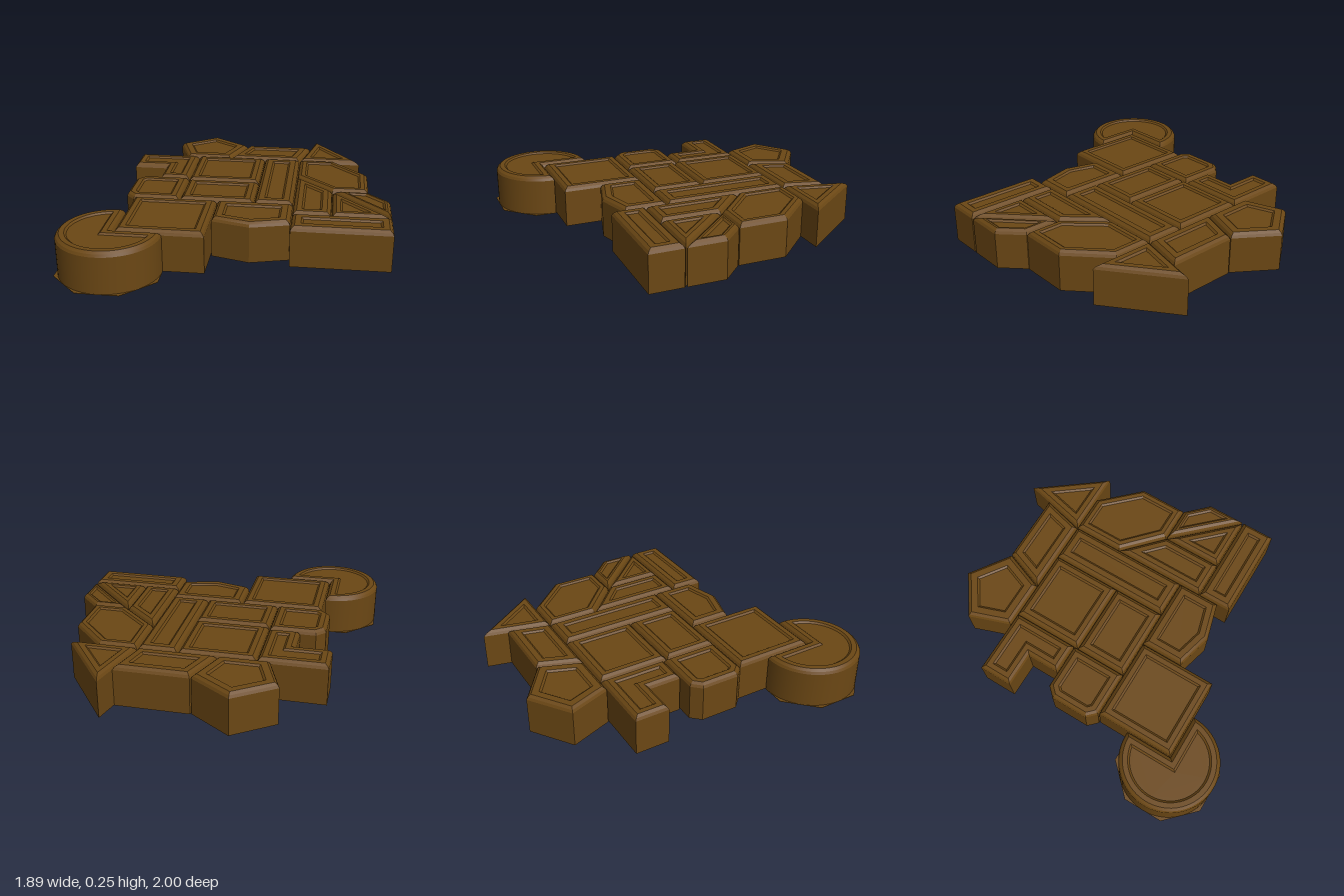
import * as THREE from 'three';
import { toCreasedNormals } from 'three/addons/utils/BufferGeometryUtils.js';

const { Vector2, ShapeUtils } = THREE;
const stone = new THREE.MeshStandardMaterial({ color: 0x6b4714 });

// Outline corners are [x, z]; they become counter-clockwise points seen from above
function outline(corners) {
  const pts = corners.map(([x, z]) => new Vector2(x, -z));
  return ShapeUtils.isClockWise(pts) ? pts.reverse() : pts;
}

const rect = (x0, z0, x1, z1) => [[x0, z0], [x1, z0], [x1, z1], [x0, z1]];

// Move every edge inwards by d, keeping mitred corners
function inset(pts, d) {
  const n = pts.length;
  const normal = (a, b) => new Vector2(a.y - b.y, b.x - a.x).normalize();
  return pts.map((p, i) => {
    const n1 = normal(pts[(i + n - 1) % n], p);
    const n2 = normal(p, pts[(i + 1) % n]);
    return n1.clone().add(n2).multiplyScalar(d / (1 + n1.dot(n2))).add(p);
  });
}

// Stack inset copies of an outline by [inset, height] steps and cap both ends
function stackedPrism(corners, steps) {
  const base = outline(corners);
  const n = base.length;
  const rings = steps.map(([d, y]) => inset(base, d).map((p) => [p.x, y, -p.y]));
  const pos = [];
  const tri = (a, b, c) => pos.push(...a, ...b, ...c);
  for (let r = 0; r < rings.length - 1; r++) {
    const lo = rings[r], hi = rings[r + 1];
    for (let i = 0; i < n; i++) {
      const j = (i + 1) % n;
      tri(lo[i], lo[j], hi[j]);
      tri(lo[i], hi[j], hi[i]);
    }
  }
  const cap = (ring, up) => {
    const flat = ring.map(([x, , z]) => new Vector2(x, -z));
    for (const [a, b, c] of ShapeUtils.triangulateShape(flat, [])) {
      if (up) tri(ring[a], ring[b], ring[c]);
      else tri(ring[a], ring[c], ring[b]);
    }
  };
  cap(rings[0], false);
  cap(rings[rings.length - 1], true);
  const geo = new THREE.BufferGeometry();
  geo.setAttribute('position', new THREE.Float32BufferAttribute(pos, 3));
  return toCreasedNormals(geo, 0.35);
}

// Tile profile: straight wall, bevelled rim, flat border, shallow sunken panel
const tileSteps = (border) => [
  [0, 0], [0, 0.225], [0.008, 0.24], [0.024, 0.253],
  [border - 0.006, 0.253], [border + 0.006, 0.243],
];

// Three-quarter disc with a square notch for the neighbouring tile
function notchedDisc(cx, cz, r) {
  const pts = [[-0.63, 0.695]];
  const from = THREE.MathUtils.degToRad(86.2), to = THREE.MathUtils.degToRad(361);
  for (let i = 0; i <= 48; i++) {
    const a = from + ((to - from) * i) / 48;
    pts.push([cx + r * Math.cos(a), cz - r * Math.sin(a)]);
  }
  return pts;
}

export function createModel() {
  const group = new THREE.Group();
  group.name = 'pavingTiles';

  // name, outline, border width
  const tiles = [
    ['pentagonTile', [[-0.275, -1], [-0.03, -0.83], [-0.125, -0.575], [-0.425, -0.575], [-0.515, -0.83]], 0.07],
    ['backTrapezoidTile', [[-0.022, -0.833], [0.418, -0.833], [0.352, -0.575], [-0.117, -0.575]], 0.065],
    ['backTriangleTile', [[0.455, -0.98], [0.765, -0.573], [0.36, -0.573]], 0.06],
    ['cornerTile', [[-0.75, -0.57], [-0.345, -0.57], [-0.345, -0.16], [-0.535, -0.16], [-0.535, -0.36], [-0.75, -0.36]], 0.06],
    ['centreSquareTile', rect(-0.34, -0.57, 0.115, -0.133), 0.06],
    ['centreLongTile', rect(0.12, -0.57, 0.355, 0.195), 0.065],
    ['centreShortTile', rect(-0.34, -0.127, 0.115, 0.195), 0.06],
    ['sideHexagonTile', [[0.36, -0.57], [0.595, -0.57], [0.815, -0.34], [0.815, -0.042], [0.59, -0.042], [0.36, -0.258]], 0.055],
    ['chamferedTile', [[-0.63, -0.152], [-0.345, -0.152], [-0.345, 0.195], [-0.63, 0.195], [-0.685, 0.14], [-0.685, -0.095]], 0.06],
    ['frontSquareTile', rect(-0.623, 0.2, -0.11, 0.69), 0.06],
    ['frontPointedTile', [[-0.103, 0.2], [0.355, 0.2], [0.355, 0.465], [0.125, 0.527], [-0.103, 0.465]], 0.065],
    ['sideTrapezoidTile', [[0.36, -0.25], [0.588, -0.035], [0.588, 0.335], [0.36, 0.335]], 0.06],
    ['sideTriangleTile', [[0.594, -0.025], [0.594, 0.335], [0.938, 0.335]], 0.055],
    ['sideChamferedTile', [[0.6, -0.036], [0.815, -0.036], [0.945, 0.095], [0.945, 0.328]], 0.042],
    ['frontLongTile', rect(0.36, 0.341, 0.945, 0.547), 0.065],
    ['notchedDiscTile', notchedDisc(-0.65, 0.7, 0.3), 0.06],
  ];

  const add = (name, geometry) => {
    const mesh = new THREE.Mesh(geometry, stone);
    mesh.name = name;
    group.add(mesh);
  };

  for (const [name, corners, border] of tiles) {
    add(name, stackedPrism(corners, tileSteps(border)));
  }

  // Thin eight-sided foot under the disc tile
  const foot = [
    [-0.63, 0.4], [-0.775, 0.4], [-0.95, 0.575], [-0.95, 0.825], [-0.775, 1],
    [-0.525, 1], [-0.35, 0.825], [-0.35, 0.695], [-0.63, 0.695],
  ];
  add('discFoot', stackedPrism(foot, [[0, 0], [0, 0.003]]));

  return group;
}
